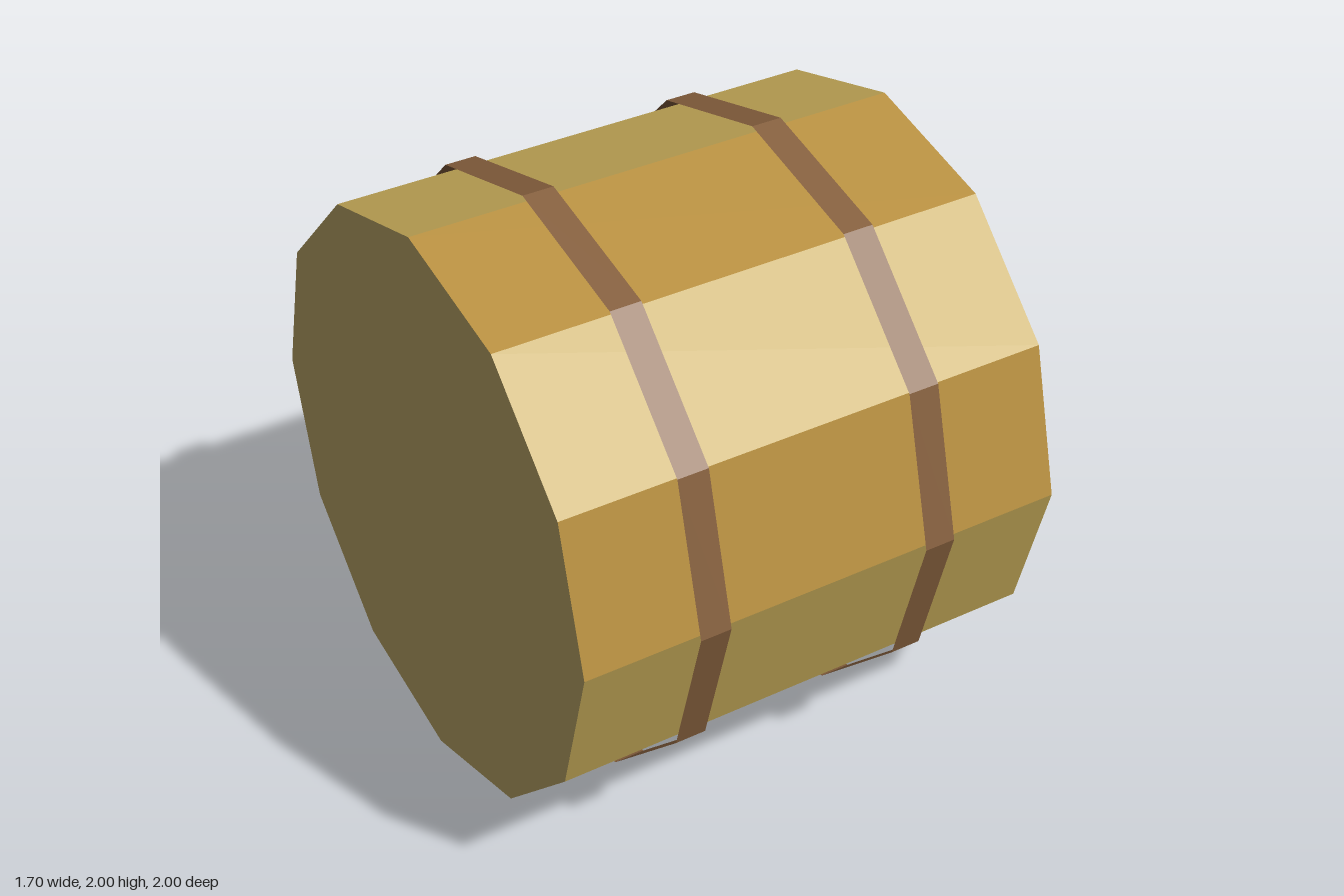
import * as THREE from 'three';

const SIDES = 12, RADIUS = 0.977, LENGTH = 1.7;
const STEP = (Math.PI * 2) / SIDES;

const mat = (color, side = THREE.FrontSide) =>
  new THREE.MeshStandardMaterial({ color, flatShading: true, side });

export function createModel() {
  const model = new THREE.Group();
  model.name = 'barrel';
  const add = (name, geometry, material, parent = model) => {
    const mesh = new THREE.Mesh(geometry, material);
    mesh.name = name;
    parent.add(mesh);
    return mesh;
  };

  // Staves: flat planks in two alternating wood tones, lying along x
  const wood = [mat(0xb8903f), mat(0xbfa555)];
  const staves = new THREE.Group();
  staves.name = 'staves';
  model.add(staves);
  for (let i = 0; i < SIDES; i++) {
    const plank = new THREE.CylinderGeometry(RADIUS, RADIUS, LENGTH, 1, 1, true, i * STEP, STEP);
    add('stave', plank.rotateZ(Math.PI / 2), wood[i % 2], staves);
  }

  // Flat end lids
  const lidWood = mat(0xbba666);
  for (const s of [-1, 1]) {
    const lid = new THREE.CircleGeometry(RADIUS, SIDES).rotateY((s * Math.PI) / 2);
    add(s > 0 ? 'leftLid' : 'rightLid', lid.translate((s * LENGTH) / 2, 0, 0), lidWood);
  }

  // Thin open hoops standing just off the staves
  const hoopMetal = mat(0x855f3d, THREE.DoubleSide);
  for (const [name, x] of [['rightHoop', -0.417], ['leftHoop', 0.397]]) {
    const hoop = new THREE.CylinderGeometry(1, 1, 0.106, SIDES, 1, true).rotateZ(Math.PI / 2);
    add(name, hoop.translate(x, 0, 0), hoopMetal);
  }

  model.children.forEach((part) => { part.position.y = 1; });
  return model;
}
